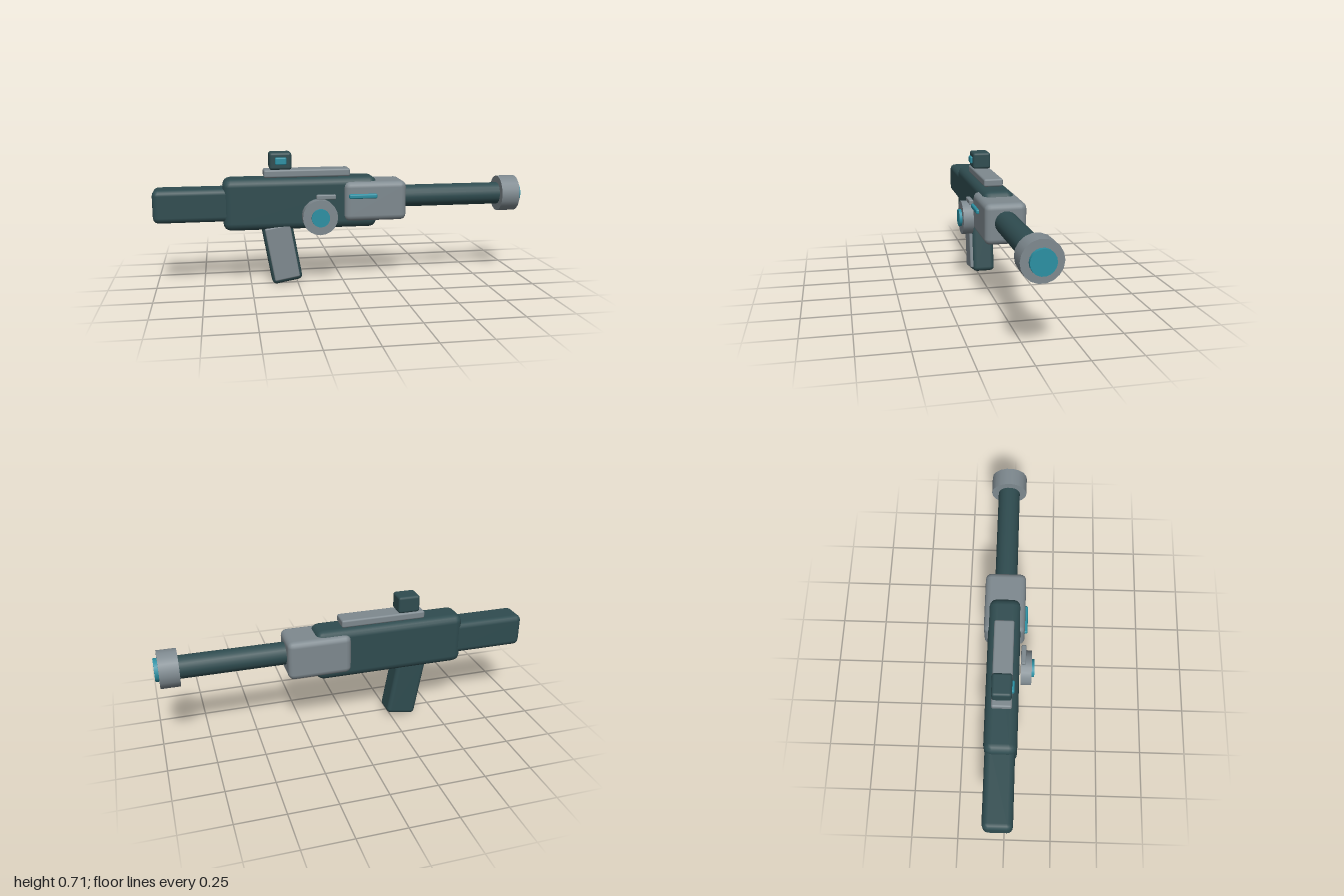
import * as THREE from 'three';
import { RoundedBoxGeometry } from 'three/addons/geometries/RoundedBoxGeometry.js';

export function createModel() {
  const model = new THREE.Group();
  model.name = 'toyBlaster';
  const dark = new THREE.MeshStandardMaterial({ color: 0x2f4c50 });
  const grey = new THREE.MeshStandardMaterial({ color: 0x7e898f });
  const teal = new THREE.MeshStandardMaterial({ color: 0x2b90a3 });
  const axisY = 0.463, axisZ = -0.027;

  function add(name, geometry, material, parent = model) {
    const mesh = new THREE.Mesh(geometry, material);
    mesh.name = name;
    parent.add(mesh);
    return mesh;
  }

  // Rounded box given by its [min, max] extents on each axis
  function box(name, material, [x0, x1], [y0, y1], [z0, z1], radius, parent) {
    const geometry = new RoundedBoxGeometry(x1 - x0, y1 - y0, z1 - z0, 2, radius);
    geometry.translate((x0 + x1) / 2, (y0 + y1) / 2, (z0 + z1) / 2);
    return add(name, geometry, material, parent);
  }

  // Cylinder along x on the barrel axis
  function barrelPart(name, material, x0, x1, radius) {
    const geometry = new THREE.CylinderGeometry(radius, radius, x1 - x0, 18);
    geometry.rotateZ(-Math.PI / 2);
    add(name, geometry, material).position.set((x0 + x1) / 2, axisY, axisZ);
  }

  // Cylinder along z for the side dial
  function dialPart(name, material, z0, z1, radius) {
    const geometry = new THREE.CylinderGeometry(radius, radius, z1 - z0, 20);
    geometry.rotateX(Math.PI / 2);
    add(name, geometry, material).position.set(-0.138, 0.383, (z0 + z1) / 2);
  }

  // Receiver, stock and fore-end
  box('body', dark, [-0.64, 0.18], [0.308, 0.585], [-0.111, 0.057], 0.042);
  box('stock', dark, [-1, -0.58], [0.36, 0.536], [-0.105, 0.047], 0.03);
  box('foreEnd', grey, [-0.002, 0.336], [0.347, 0.56], [-0.135, 0.081], 0.032);
  box('foreEndStrip', teal, [0.02, 0.172], [0.472, 0.497], [0.066, 0.095], 0.008);

  // Barrel with muzzle ring and lens
  barrelPart('barrel', dark, 0.3, 0.92, 0.06);
  barrelPart('muzzle', grey, 0.88, 0.98, 0.098);
  barrelPart('muzzleLens', teal, 0.96, 1, 0.06);

  // Top rail and sight
  box('topRail', grey, [-0.424, 0.036], [0.585, 0.627], [-0.078, 0.025], 0.01);
  box('sight', dark, [-0.394, -0.276], [0.626, 0.718], [-0.077, 0.024], 0.014);
  box('sightLens', teal, [-0.364, -0.304], [0.653, 0.693], [0.01, 0.036], 0.008);

  // Side dial and switch
  dialPart('dial', grey, 0.065, 0.122, 0.093);
  dialPart('dialCap', teal, 0.11, 0.137, 0.048);
  box('switch', grey, [-0.154, -0.05], [0.473, 0.498], [0.066, 0.091], 0.006);

  // Tilted grip with a panel on its front side
  const grip = new THREE.Group();
  grip.name = 'grip';
  grip.position.set(-0.333, 0.18, 0);
  grip.rotation.z = 0.175;
  model.add(grip);
  box('gripCore', dark, [-0.082, 0.082], [-0.166, 0.17], [-0.09, 0.035], 0.024, grip);
  box('gripPanel', grey, [-0.068, 0.068], [-0.144, 0.15], [0.02, 0.05], 0.008, grip);

  return model;
}
